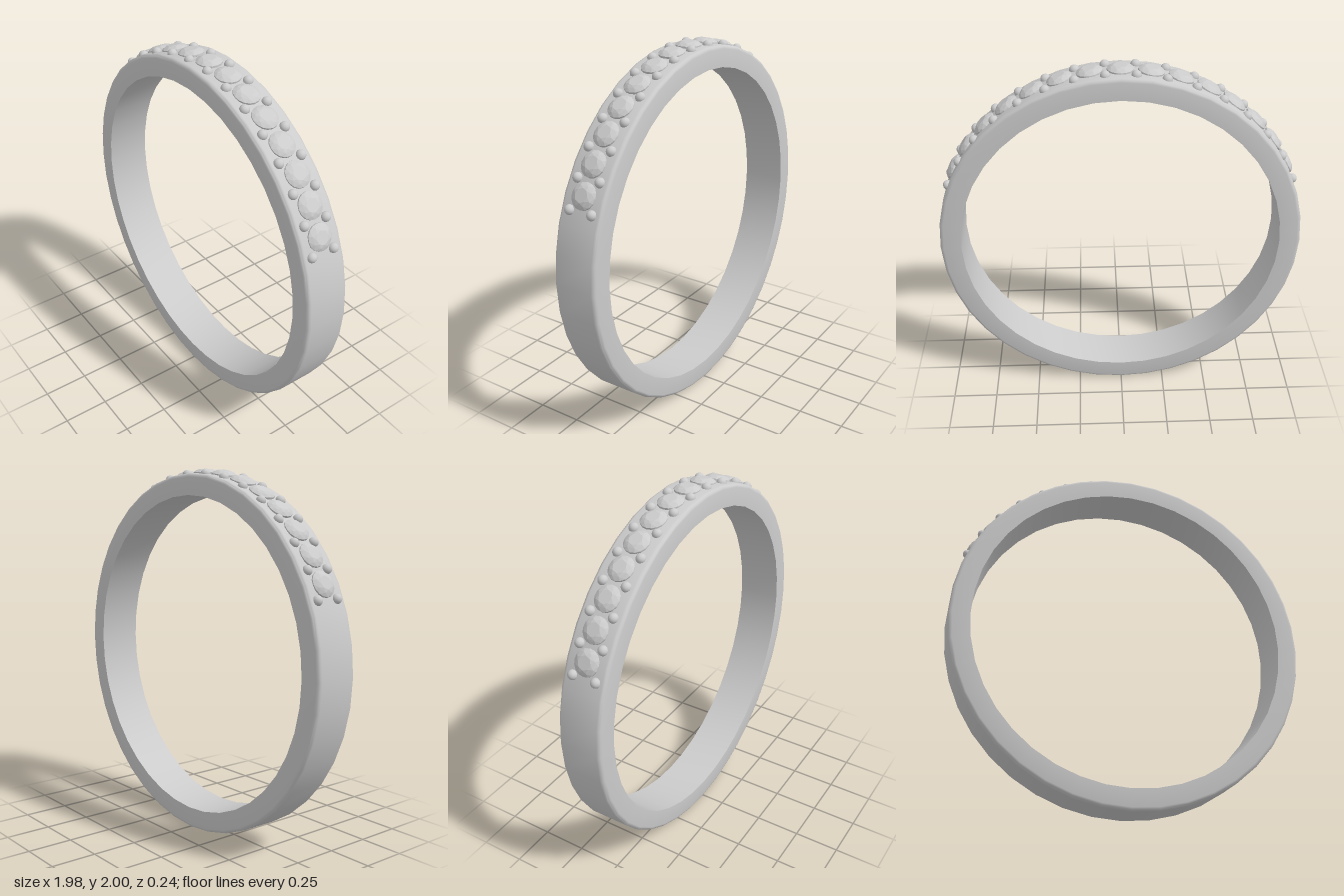
import * as THREE from 'three';
import { toCreasedNormals } from 'three/addons/utils/BufferGeometryUtils.js';
import { ConvexGeometry } from 'three/addons/geometries/ConvexGeometry.js';

const OUTER = 0.988, INNER = 0.872, HALF_WIDTH = 0.122, FILLET = 0.02;
const STONES = 15, STEP = THREE.MathUtils.degToRad(9);

// Band: closed cross-section with rounded outer edges, turned about the ring axis
function bandGeometry() {
  const points = [new THREE.Vector2(INNER, -HALF_WIDTH)];
  for (const side of [-1, 1]) {
    for (let i = 0; i <= 3; i++) {
      const a = side * (side < 0 ? 3 - i : i) * Math.PI / 6;
      points.push(new THREE.Vector2(
        OUTER - FILLET + FILLET * Math.cos(a),
        side * (HALF_WIDTH - FILLET) + FILLET * Math.sin(a)));
    }
  }
  points.push(new THREE.Vector2(INNER, HALF_WIDTH), points[0].clone());
  const geometry = new THREE.LatheGeometry(points, 40);
  geometry.rotateX(Math.PI / 2);
  return toCreasedNormals(geometry, 0.7);
}

// Round brilliant: table, crown, girdle and pavilion point, y = 0 at the girdle
function stoneGeometry() {
  const points = [new THREE.Vector3(0, -0.06, 0)];
  const ring = (count, radius, y, turn = 0) => {
    for (let i = 0; i < count; i++) {
      const a = (i + turn) / count * Math.PI * 2;
      points.push(new THREE.Vector3(radius * Math.cos(a), y, radius * Math.sin(a)));
    }
  };
  ring(8, 0.036, 0.024);
  ring(8, 0.053, 0.0175, 0.5);
  ring(16, 0.068, 0.006);
  ring(16, 0.068, -0.004);
  return new ConvexGeometry(points);
}

export function createModel() {
  const model = new THREE.Group();
  model.name = 'ring';
  const metal = new THREE.MeshStandardMaterial({ color: 0xcccccc });
  const gem = new THREE.MeshStandardMaterial({ color: 0xcccccc, flatShading: true });

  const add = (name, geometry, material) => {
    const mesh = new THREE.Mesh(geometry, material);
    mesh.name = name;
    model.add(mesh);
    return mesh;
  };
  // Places a part on the rim, tilted by an angle from the top
  const onRim = (mesh, angle, radius, z = 0) => {
    mesh.position.set(Math.sin(angle) * radius, Math.cos(angle) * radius, z);
    mesh.rotation.z = -angle;
  };

  add('band', bandGeometry(), metal);

  // Row of stones over the upper part of the band
  const stone = stoneGeometry();
  for (let i = 0; i < STONES; i++) {
    onRim(add('stone', stone, gem), (i - (STONES - 1) / 2) * STEP, OUTER - 0.001);
  }

  // Pairs of beads between the stones and at both ends
  const bead = new THREE.SphereGeometry(0.026, 16, 12);
  for (let i = 0; i <= STONES; i++) {
    for (const side of [-1, 1]) {
      onRim(add('bead', bead, metal), (i - STONES / 2) * STEP, OUTER - 0.003, side * 0.066);
    }
  }

  model.children.forEach((part) => { part.position.y += OUTER + 0.001; });
  return model;
}
